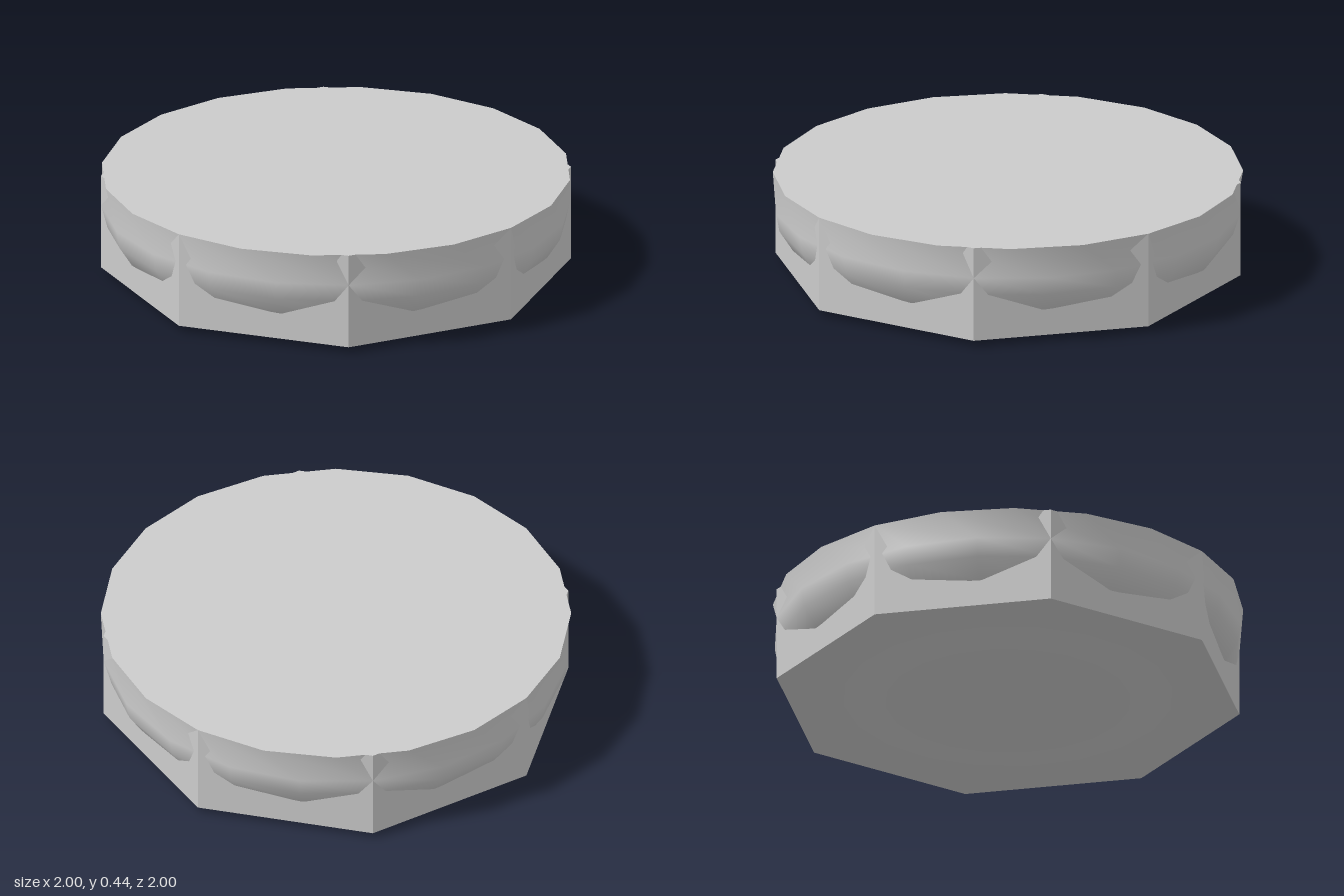
import * as THREE from 'three';
import { mergeVertices } from 'three/addons/utils/BufferGeometryUtils.js';

const SIDES = 20;
const TOP = 0.445;
const BASE = 0.028;

export function createModel() {
  const group = new THREE.Group();
  const grey = new THREE.MeshStandardMaterial({ color: 0xcccccc });
  const flatGrey = new THREE.MeshStandardMaterial({ color: 0xcccccc, flatShading: true });

  function add(name, geometry, material) {
    const mesh = new THREE.Mesh(geometry, material);
    mesh.name = name;
    group.add(mesh);
    return mesh;
  }

  // Octagonal block with its corners on the x and z axes
  const block = add('octagonalBlock', new THREE.CylinderGeometry(1, 1, TOP - BASE, 8), flatGrey);
  block.position.y = (TOP + BASE) / 2;

  // Round bowl that bulges through the block's faces and bottom
  const profile = [
    [0, 0], [0.3, 0.002], [0.55, 0.007], [0.71, 0.029], [0.84, 0.08],
    [0.93, 0.145], [0.985, 0.23], [1, 0.31], [1, TOP],
  ].map(([r, y]) => new THREE.Vector2(r, y));
  let bowl = new THREE.LatheGeometry(profile, SIDES);

  // Rings below the rim are turned by half a side, so the rim band zigzags
  const pos = bowl.attributes.position;
  const v = new THREE.Vector3();
  const up = new THREE.Vector3(0, 1, 0);
  for (let i = 0; i < pos.count; i++) {
    v.fromBufferAttribute(pos, i);
    if (v.y < TOP - 0.01) v.applyAxisAngle(up, Math.PI / SIDES);
    pos.setXYZ(i, v.x, v.y, v.z);
  }
  bowl.deleteAttribute('uv');
  bowl.deleteAttribute('normal');
  bowl = mergeVertices(bowl, 1e-4);
  bowl.computeVertexNormals();
  add('roundBowl', bowl, grey);

  // Flat lid across the rim
  const lid = add('flatLid', new THREE.CircleGeometry(1, SIDES), flatGrey);
  lid.rotation.x = -Math.PI / 2;
  lid.position.y = TOP;

  return group;
}
